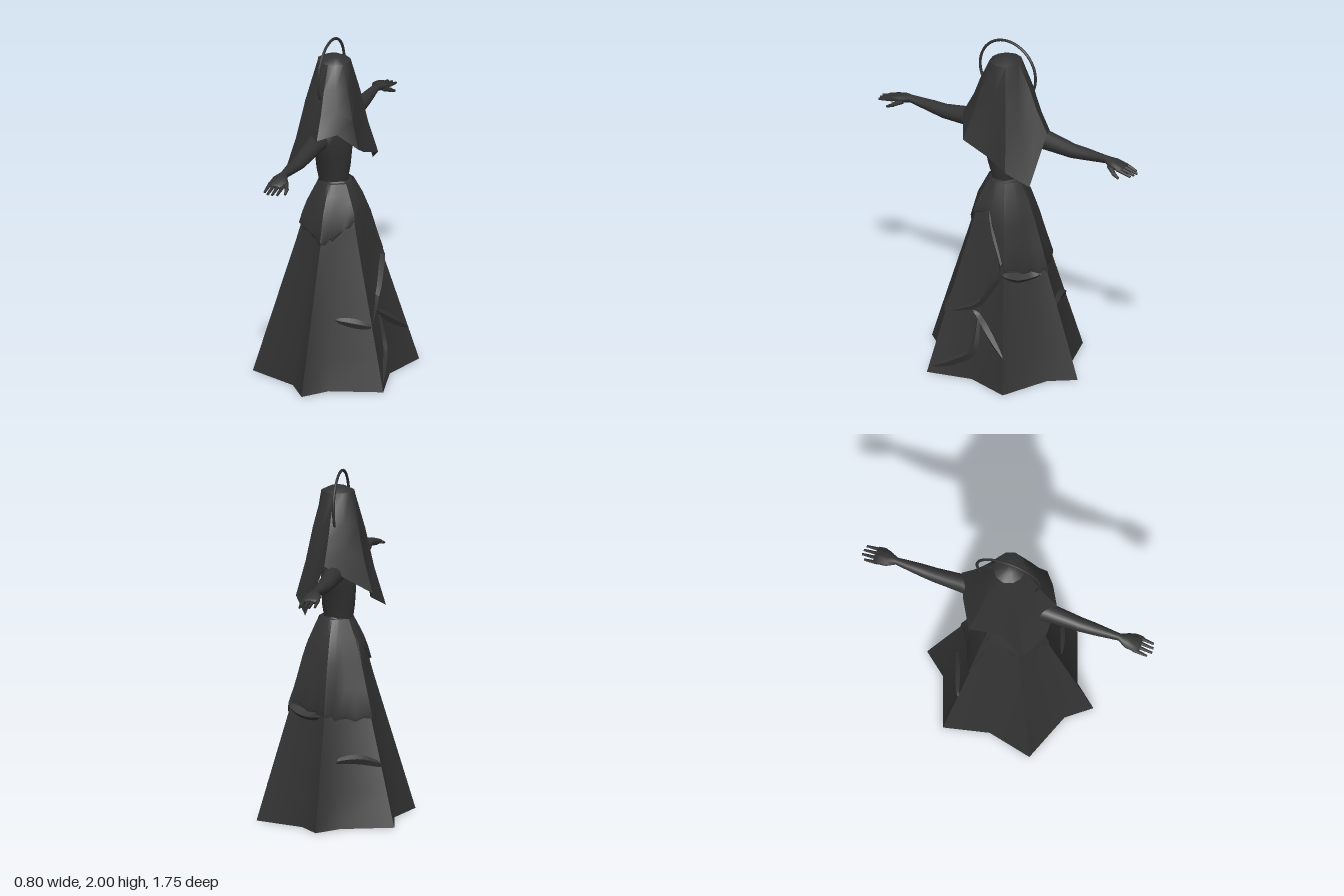
import * as THREE from 'three';
import { toCreasedNormals } from 'three/addons/utils/BufferGeometryUtils.js';

const { lerp } = THREE.MathUtils;
const V = (x, y, z) => new THREE.Vector3(x, y, z);

// Skin a stack of cross-sections, listed from bottom to top
function loft(rings, closed = true, crease = 0.6) {
  const n = rings[0].length, pos = [], idx = [];
  for (const ring of rings) for (const p of ring) pos.push(p.x, p.y, p.z);
  for (let i = 0; i < rings.length - 1; i++) {
    for (let j = 0; j < (closed ? n : n - 1); j++) {
      const k = (j + 1) % n, a = i * n + j, b = i * n + k, c = a + n, d = b + n;
      idx.push(a, c, b, b, c, d);
    }
  }
  const g = new THREE.BufferGeometry();
  g.setAttribute('position', new THREE.Float32BufferAttribute(pos, 3));
  g.setIndex(idx);
  return toCreasedNormals(g, crease);
}

// Piecewise-linear lookup in [key, value] pairs
function lookup(table, k) {
  for (let i = 1; i < table.length; i++) {
    const [k0, v0] = table[i - 1], [k1, v1] = table[i];
    if (k <= k1) return lerp(v0, v1, (k - k0) / (k1 - k0));
  }
  return table[table.length - 1][1];
}

// Six-pointed skirt outline: 12 corners, walked from +x towards +z
const star = [[0.33, 0], [0.4, 0.26], [0.11, 0.365], [0, 0.5], [-0.11, 0.365], [-0.4, 0.26],
  [-0.34, 0], [-0.4, -0.26], [-0.11, -0.365], [0, -0.5], [0.11, -0.365], [0.4, -0.26]];
const skirtScale = [[0, 1], [0.4, 0.74], [0.8, 0.48], [1.0, 0.36], [1.1, 0.25], [1.16, 0.18]];

// Point on the skirt: u counts outline corners, y is height, lift pushes outwards
function skirtPoint(u, y, lift = 0) {
  const s = lookup(skirtScale, y), round = Math.pow(Math.min(1, y / 1.16), 2) * 0.8;
  const corner = (i) => {
    const [x, z] = star[((i % 12) + 12) % 12], r = Math.hypot(x, z);
    const f = lerp(1, 0.46 / r, round);
    return [x * f * s, z * f * s];
  };
  const i = Math.floor(u), a = corner(i), b = corner(i + 1);
  const x = lerp(a[0], b[0], u - i), z = lerp(a[1], b[1], u - i), r = Math.hypot(x, z);
  return V(x * (1 + lift / r), y, z * (1 + lift / r));
}

export function createModel() {
  const cloth = new THREE.MeshStandardMaterial({ color: 0x333333, side: THREE.DoubleSide });
  cloth.name = 'charcoal';
  const model = new THREE.Group();
  model.name = 'veiledFigure';
  const add = (name, geo, parent = model) => {
    const m = new THREE.Mesh(geo, cloth);
    m.name = name;
    parent.add(m);
    return m;
  };
  const corners = [...Array(12).keys()];

  // Flared skirt
  add('skirt', loft([0, 0.2, 0.4, 0.6, 0.8, 0.9, 1.0, 1.1, 1.16].map((y) => corners.map((u) => skirtPoint(u, y)))));

  // Torn overskirt with an uneven hem
  const hem = [[0, 1.0], [1, 0.95], [2, 0.85], [3, 0.82], [4, 0.85], [5, 0.88], [6, 0.98], [6.7, 0.9],
    [7, 0.6], [8, 0.6], [9, 0.63], [10, 0.63], [11, 0.68], [11.5, 0.85], [12, 1.0]];
  const around = [...Array(48).keys()].map((i) => i / 4);
  add('overskirt', loft([0, 0.05, 0.3, 0.55, 0.8, 1].map((t) => around.map((u) => {
    const ragged = t === 0 ? 0.012 * Math.sin(u * 9) : 0;
    return skirtPoint(u, lerp(lookup(hem, u) + ragged, 1.15, t), t === 0 ? 0.006 : 0.014);
  }))));

  // Tattered creases across the skirt: [corner position, height]
  const tears = [
    [[0.1, 1.0], [-0.4, 0.85], [-0.9, 0.68], [-0.5, 0.58], [0.0, 0.45], [0.9, 0.37]],
    [[-0.9, 0.66], [-1.6, 0.62], [-2.6, 0.62]],
    [[0.2, 0.4], [-0.2, 0.34], [-0.6, 0.27], [-1.0, 0.2]],
    [[0.0, 0.4], [0.0, 0.2], [0.4, 0.1], [0.9, 0.04]],
    [[1.0, 0.36], [1.4, 0.38], [1.9, 0.4]],
    [[6.9, 0.34], [7.5, 0.38], [8.2, 0.37]],
  ];
  tears.forEach((path) => {
    const curve = new THREE.CatmullRomCurve3(path.map(([u, y]) => V(u, y, 0)));
    const rows = [];
    for (let i = 0; i <= 14; i++) {
      const t = i / 14, p = curve.getPoint(t), d = curve.getTangent(t);
      const w = 0.026 * Math.pow(Math.sin(Math.PI * t), 0.6) + 0.001;
      const across = V(-d.y, d.x * 0.3, 0).normalize();
      const shift = (k, lift) => skirtPoint(p.x + across.x * k * 4, Math.max(0.005, p.y + across.y * k), lift);
      rows.push([shift(-w, 0.002), shift(w * 0.2, w * 0.9), shift(w, 0.002)]);
    }
    add('skirtTear', loft(rows, false, 0.3));
  });

  // Bodice, neck and head
  const oval = (y, rx, rz) => corners.map((i) => V(-0.015 + rx * Math.cos(i * Math.PI / 6), y, rz * Math.sin(i * Math.PI / 6)));
  add('bodice', loft([[1.1, 0.075, 0.075], [1.15, 0.085, 0.08], [1.22, 0.095, 0.105], [1.32, 0.1, 0.135],
    [1.42, 0.09, 0.19], [1.48, 0.07, 0.19], [1.53, 0.045, 0.06], [1.62, 0.04, 0.045]].map((r) => oval(...r)), true, 1.2));
  add('head', new THREE.SphereGeometry(0.085, 16, 12).scale(0.95, 1.25, 0.85).translate(-0.01, 1.72, 0));
  const sash = add('waistSash', new THREE.TorusGeometry(0.083, 0.014, 6, 16).rotateX(Math.PI / 2));
  sash.position.set(0, 1.14, 0);

  // Veil: ragged hem corners [x, y, z], narrowing to the crown
  const veilHem = [[0.17, 1.34, 0], [0.2, 1.42, 0.15], [0.1, 1.52, 0.22], [0, 1.49, 0.28], [-0.12, 1.29, 0.26],
    [-0.25, 1.19, 0.17], [-0.2, 1.27, 0], [-0.25, 1.33, -0.16], [-0.12, 1.42, -0.24], [0, 1.5, -0.29],
    [0.12, 1.2, -0.25], [0.2, 1.29, -0.14]].map((p) => V(...p));
  const crown = (r, y) => veilHem.map((p) => {
    const a = Math.atan2(p.z, p.x);
    return V(-0.012 + r * Math.cos(a), y, r * 0.92 * Math.sin(a));
  });
  const rim = crown(0.097, 1.88);
  const between = (t, pinch) => veilHem.map((p, i) => {
    const q = p.clone().lerp(rim[i], t);
    return V(q.x * pinch, q.y, q.z * pinch);
  });
  add('veil', loft([veilHem, between(0.33, 0.97), between(0.66, 1.02), rim, crown(0.045, 1.905), crown(0.001, 1.915)], true, 0.7));

  // Halo ring standing behind the face
  add('halo', new THREE.TorusGeometry(0.19, 0.008, 8, 48).rotateY(Math.PI / 2)).position.set(-0.03, 1.802, 0);

  // Arms, hands, legs and feet, one set for each side
  const rod = (name, a, b, ra, rb, parent) => {
    const dir = b.clone().sub(a);
    const m = add(name, new THREE.CylinderGeometry(rb, ra, dir.length(), 8), parent);
    m.position.copy(a).addScaledVector(dir, 0.5);
    m.quaternion.setFromUnitVectors(V(0, 1, 0), dir.normalize());
    return m;
  };
  for (const s of [1, -1]) {
    const arm = new THREE.Group();
    arm.name = s > 0 ? 'frontArm' : 'backArm';
    model.add(arm);
    // [z, y, half width, half height] along the arm and palm
    const sections = [[0.15, 1.44, 0.06, 0.06], [0.28, 1.435, 0.052, 0.055], [0.44, 1.42, 0.042, 0.042],
      [0.52, 1.425, 0.037, 0.036], [0.67, 1.432, 0.021, 0.023], [0.72, 1.424, 0.047, 0.024], [0.79, 1.412, 0.05, 0.016], [0.8, 1.41, 0.03, 0.008]];
    const rings = sections.map(([z, y, w, h]) => corners.map((i) => {
      const a = -s * i * Math.PI / 6;
      return V(-0.038 + w * Math.cos(a), y + h * Math.sin(a), s * z);
    }));
    add('armAndPalm', loft(rings, true, 1.2), arm);
    [0.85, 0.872, 0.87, 0.862].forEach((z, i) => {
      const x = -0.078 + i * 0.027;
      rod('finger', V(x, 1.414, s * 0.77), V(x, 1.392, s * z), 0.012, 0.007, arm);
    });
    rod('thumb', V(-0.01, 1.415, s * 0.71), V(0.018, 1.39, s * 0.76), 0.016, 0.012, arm);
    rod('thumbTip', V(0.018, 1.39, s * 0.755), V(0.024, 1.372, s * 0.795), 0.012, 0.007, arm);

    rod('leg', V(-0.02, 0.05, s * 0.07), V(-0.01, 0.75, s * 0.06), 0.03, 0.055);
    add('foot', new THREE.SphereGeometry(1, 14, 8).scale(0.11, 0.035, 0.04).translate(0.045, 0.037, s * 0.075));
    add('heel', new THREE.SphereGeometry(0.04, 10, 8).translate(-0.025, 0.05, s * 0.07));
  }
  return model;
}
